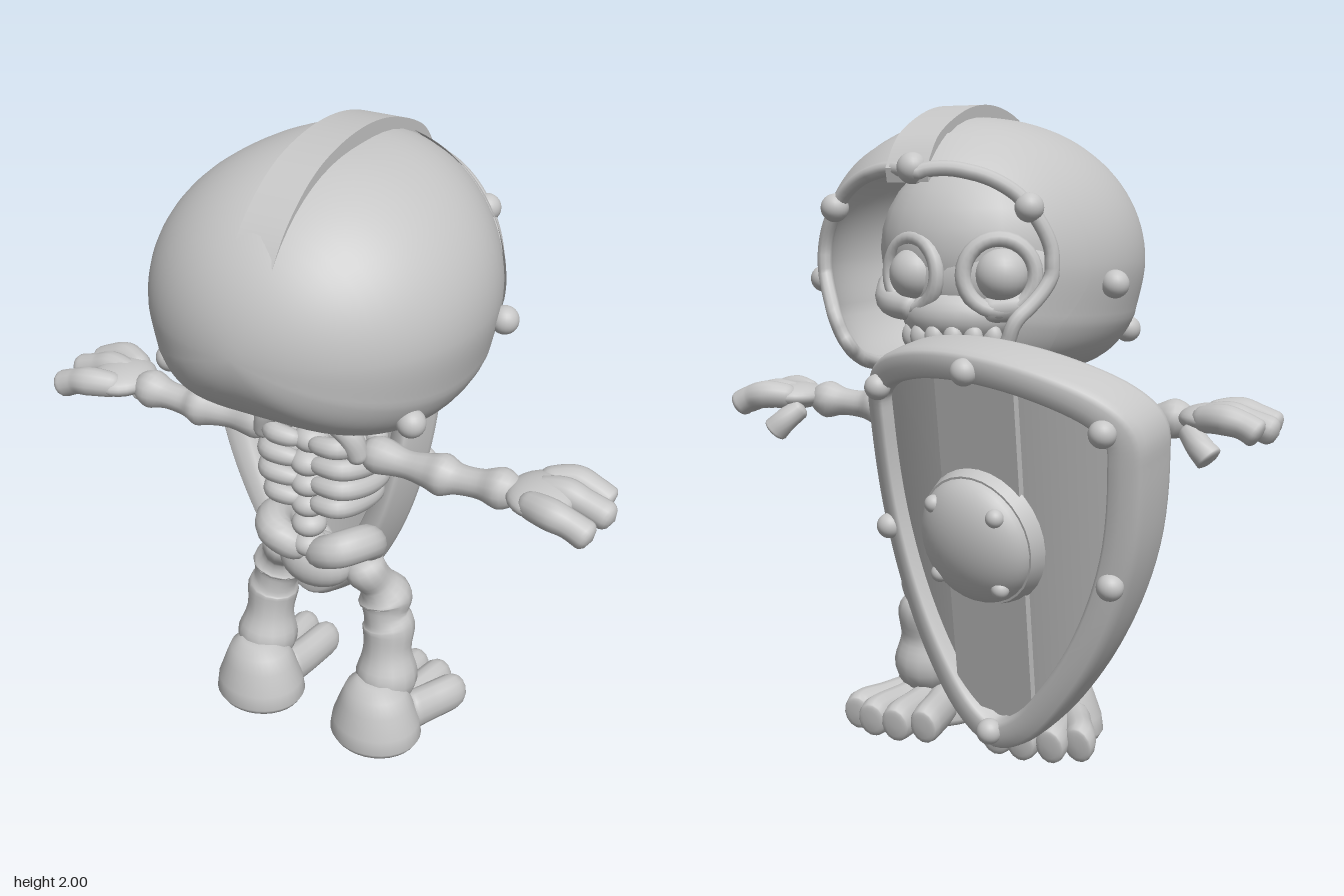
import * as THREE from 'three';
import { mergeVertices } from 'three/addons/utils/BufferGeometryUtils.js';

const V = (x, y, z) => new THREE.Vector3(x, y, z);
const V2 = pts => pts.map(p => new THREE.Vector2(...p));
const TAU = Math.PI * 2;

// surface from a rule f(u, v) -> Vector3, smooth across its seams
function grid(nu, nv, f) {
  const pos = [], idx = [];
  for (let i = 0; i <= nu; i++) for (let j = 0; j <= nv; j++) pos.push(...f(i / nu, j / nv).toArray());
  for (let i = 0; i < nu; i++) for (let j = 0; j < nv; j++) {
    const a = i * (nv + 1) + j, b = a + nv + 1;
    idx.push(a, a + 1, b, a + 1, b + 1, b);
  }
  let g = new THREE.BufferGeometry();
  g.setAttribute('position', new THREE.Float32BufferAttribute(pos, 3));
  g.setIndex(idx);
  g = mergeVertices(g, 1e-5);
  g.computeVertexNormals();
  return g;
}

// rounded bone through points [x, y, z, radius]
function boneGeo(pts, nu = 32, nv = 14) {
  const path = new THREE.CatmullRomCurve3(pts.map(p => V(p[0], p[1], p[2])));
  const rad = new THREE.CatmullRomCurve3(pts.map(p => V(p[3], 0, 0)), false, 'catmullrom');
  const d = path.getPoint(1).sub(path.getPoint(0));
  const ref = Math.abs(d.y) > Math.hypot(d.x, d.z) ? V(0, 0, 1) : V(0, 1, 0);
  return grid(nu, nv, (u, v) => {
    const t = path.getTangent(u), n = t.clone().cross(ref).normalize(), b = t.clone().cross(n);
    const cap = 1 - Math.min(1, Math.min(u, 1 - u) * 8);
    const r = rad.getPoint(u).x * Math.sqrt(1 - cap * cap), a = v * TAU;
    return path.getPoint(u).addScaledVector(n, r * Math.cos(a)).addScaledVector(b, r * Math.sin(a));
  });
}

// side profile drawn as [-z, y] and extruded along x
function sideProfile(outer, inner, width) {
  const shape = new THREE.Shape();
  shape.moveTo(...outer[0]);
  shape.splineThru(V2(outer.slice(1)));
  shape.lineTo(...inner[0]);
  shape.splineThru(V2(inner.slice(1)));
  return new THREE.ExtrudeGeometry(shape, { depth: width, bevelEnabled: false, curveSegments: 28 }).rotateY(Math.PI / 2);
}

export function createModel() {
  const model = new THREE.Group();
  const grey = new THREE.MeshStandardMaterial({ color: 0xc6c6c6, side: THREE.DoubleSide });
  grey.name = 'grey';
  const brown = new THREE.MeshStandardMaterial({ color: 0x552a14, side: THREE.DoubleSide });
  brown.name = 'brown leather';
  const add = (parent, name, geo, x = 0, y = 0, z = 0, mat = grey) => {
    const m = new THREE.Mesh(geo, mat);
    m.name = name;
    m.position.set(x, y, z);
    parent.add(m);
    return m;
  };
  const ball = (parent, name, x, y, z, rx, ry = rx, rz = rx) => {
    const m = add(parent, name, new THREE.SphereGeometry(1, 24, 16), x, y, z);
    m.scale.set(rx, ry, rz);
    return m;
  };
  const group = (name) => {
    const g = new THREE.Group();
    g.name = name;
    model.add(g);
    return g;
  };
  const bone = (parent, name, pts) => add(parent, name, boneGeo(pts));
  const pair = (parent, name, pts) => {
    for (const s of [-1, 1]) bone(parent, name, pts.map(p => [p[0] * s, p[1], p[2], p[3]]));
  };

  // helmet shell, grown from the back pole to the face opening
  const helmet = group('helmet');
  const edge = [[-90, 0.25], [-78, 0.02], [-66, -0.25], [-55, -0.32], [-32, -0.33], [-20, -0.28], [-8, -0.245], [8, -0.245], [35, -0.285], [60, -0.34], [90, -0.39]];
  const edgeZ = (deg) => {
    const i = Math.max(1, edge.findIndex(e => deg <= e[0] + 1e-6)), [a, b] = [edge[i - 1], edge[i]];
    return THREE.MathUtils.mapLinear(deg, a[0], b[0], a[1], b[1]);
  };
  const shell = (t, phi, k = 1) => {
    const s = Math.sin(phi), c = Math.cos(phi);
    const z1 = edgeZ(Math.asin(THREE.MathUtils.clamp(s, -1, 1)) * 180 / Math.PI);
    const z = 0.64 - (0.64 - z1) * (1 - Math.cos(t * Math.PI / 2));
    const d = Math.abs(z - 0.12) / 0.52, low = Math.min(1, Math.max(0, -s * 2));
    const back = Math.sqrt(Math.max(0, 1 - Math.pow(d, 2.15)));
    const fx = z > 0.12 ? back : 1 - 0.48 * d * d;
    const fy = z > 0.12 ? back : 1 - (0.42 - 0.24 * low) * d * d * d;
    const cx = Math.sign(c) * Math.pow(Math.abs(c), 1 - 0.54 * low);
    return V(0.01 + 0.495 * cx * fx * k, 1.53 + (s > 0 ? 0.435 : 0.345) * s * fy * k, z - (k < 1 ? (1 - t) * 0.05 : 0));
  };
  add(helmet, 'helmetShell', grid(48, 96, (u, v) => u <= 0.5 ? shell(u * 2, -v * TAU) : shell(2 - u * 2, -v * TAU, 0.92)));
  add(helmet, 'helmetBand', grid(6, 96, (u, v) => shell(0.92 + 0.08 * u, -v * TAU, 1.015)));
  const rim = new THREE.CatmullRomCurve3(Array.from({ length: 60 }, (_, i) => shell(1, i / 60 * TAU, 0.97)), true);
  add(helmet, 'helmetRim', new THREE.TubeGeometry(rim, 144, 0.022, 10, true));
  // low crest along the middle
  add(helmet, 'helmetCrest', sideProfile(
    [[0.39, 1.8], [0.3, 1.9], [0.1, 1.98], [-0.1, 2], [-0.3, 1.965], [-0.45, 1.88], [-0.55, 1.77], [-0.62, 1.62]],
    [[-0.5, 1.65], [-0.3, 1.85], [-0.1, 1.9], [0.2, 1.87], [0.38, 1.76]], 0.13), -0.035);
  ball(helmet, 'helmetRivet', 0.02, 1.8, -0.37, 0.045);
  for (const s of [-1, 1]) for (const [x, y, z] of [[0.31, 1.69, -0.28], [0.485, 1.47, -0.04], [0.395, 1.31, 0.36]])
    ball(helmet, 'helmetRivet', 0.01 + s * x, y, z, 0.042);

  // skull
  const skull = group('skull');
  ball(skull, 'cranium', 0, 1.57, 0.14, 0.34, 0.31, 0.35);
  ball(skull, 'face', -0.01, 1.49, 0, 0.3, 0.2, 0.205);
  ball(skull, 'upperJaw', 0, 1.37, -0.06, 0.19, 0.11, 0.17);
  for (const s of [-1, 1]) {
    ball(skull, 'eye', s * 0.14 - 0.02, 1.495, -0.145, 0.08);
    add(skull, 'eyeSocket', new THREE.TorusGeometry(0.106, 0.024, 10, 28), s * 0.14 - 0.02, 1.495, -0.165).rotation.y = s * -0.4;
  }
  pair(skull, 'cheekbone', [[0.1, 1.39, -0.17, 0.04], [0.22, 1.41, -0.11, 0.045], [0.29, 1.47, 0.03, 0.04]]);
  bone(skull, 'jaw', [[-0.23, 1.38, 0.1, 0.035], [-0.2, 1.24, 0.05, 0.05], [-0.11, 1.19, -0.07, 0.05], [0, 1.185, -0.095, 0.055],
    [0.11, 1.19, -0.07, 0.05], [0.2, 1.24, 0.05, 0.05], [0.23, 1.38, 0.1, 0.035]]);
  for (let i = 0; i < 6; i++) {
    const a = (i - 2.5) * 0.36;
    ball(skull, 'upperTooth', 0.17 * Math.sin(a), 1.31, -0.05 - 0.16 * Math.cos(a), 0.03, 0.04, 0.025);
    ball(skull, 'lowerTooth', 0.15 * Math.sin(a), 1.245, -0.01 - 0.12 * Math.cos(a), 0.027, 0.035, 0.024);
  }

  // spine, ribs and pelvis
  const torso = group('torso');
  for (let i = 1; i < 9; i++) ball(torso, 'vertebra', 0, 0.63 + i * 0.073, 0.225 - Math.max(0, i - 5) * 0.018, 0.055, 0.042, 0.055);
  for (let i = 0; i < 4; i++) {
    const y = 1.07 - i * 0.069, w = [0.165, 0.19, 0.19, 0.165][i];
    pair(torso, 'rib', [[0.01, y, 0.24, 0.028], [w * 0.65, y + 0.01, 0.245, 0.033], [w - 0.028, y - 0.01, 0.14, 0.035], [w * 0.75, y - 0.025, 0.035, 0.032], [0.01, y - 0.03, 0.01, 0.026]]);
  }
  bone(torso, 'breastbone', [[0, 1.04, -0.005, 0.04], [0, 0.95, -0.01, 0.035], [0, 0.86, 0, 0.025]]);
  pair(torso, 'collarbone', [[0.02, 1.1, 0.03, 0.03], [0.1, 1.12, 0.06, 0.028], [0.2, 1.07, 0.15, 0.04]]);
  pair(torso, 'shoulderBlade', [[0.05, 1.15, 0.2, 0.035], [0.13, 1.13, 0.22, 0.04], [0.17, 1.03, 0.21, 0.03]]);
  pair(torso, 'hipBone', [[0, 0.66, 0.23, 0.045], [0.11, 0.72, 0.245, 0.056], [0.16, 0.715, 0.16, 0.056], [0.13, 0.65, 0.09, 0.052], [0, 0.61, 0.08, 0.045]]);
  ball(torso, 'tailBone', 0, 0.615, 0.18, 0.125, 0.09, 0.09);

  // arms and hands
  const arms = group('arms');
  pair(arms, 'arm', [[0.15, 1.05, 0.17, 0.06], [0.22, 1.05, 0.17, 0.057], [0.3, 1.045, 0.17, 0.043], [0.37, 1.045, 0.17, 0.052], [0.42, 1.045, 0.17, 0.064],
    [0.47, 1.045, 0.17, 0.046], [0.54, 1.05, 0.17, 0.045], [0.6, 1.055, 0.17, 0.062], [0.67, 1.06, 0.17, 0.05]]);
  for (const s of [-1, 1]) ball(arms, 'palm', s * 0.72, 1.065, 0.16, 0.1, 0.045, 0.115);
  for (const [x, z] of [[0.895, 0.06], [0.93, 0.135], [0.91, 0.255]])
    pair(arms, 'finger', [[0.68, 1.065, 0.16 + (z - 0.16) * 0.6, 0.038], [0.78, 1.075, z, 0.046], [0.84, 1.06, z, 0.042], [x, 1.03, z, 0.045]]);
  pair(arms, 'thumb', [[0.66, 1.04, 0.1, 0.035], [0.71, 0.99, 0.06, 0.04], [0.75, 0.95, 0.05, 0.045]]);

  // legs and feet
  const legs = group('legs');
  pair(legs, 'leg', [[0.13, 0.65, 0.15, 0.06], [0.15, 0.6, 0.14, 0.068], [0.175, 0.54, 0.11, 0.06], [0.195, 0.48, 0.09, 0.088], [0.205, 0.425, 0.1, 0.072],
    [0.215, 0.385, 0.1, 0.085], [0.22, 0.3, 0.115, 0.078], [0.225, 0.22, 0.125, 0.1], [0.23, 0.1, 0.15, 0.11]]);
  const heel = new THREE.LatheGeometry(V2([[0, 0.005], [0.14, 0], [0.152, 0.02], [0.145, 0.07], [0.12, 0.14], [0.1, 0.19], [0.06, 0.22], [0, 0.22]]), 32);
  for (const s of [-1, 1]) {
    add(legs, 'heel', heel, s * 0.22, 0, 0.19).scale.z = 0.9;
    [[0.125, -0.08], [0.215, -0.1], [0.305, -0.085], [0.38, -0.04]].forEach(([x, z], i) => {
      const x0 = 0.16 + i * 0.045;
      // each toe rests on the ground
      bone(legs, 'toe', [[x0, 0.14, 0.055], [(x0 + x) / 2, 0.05, 0.052], [x, z, 0.05], [x, z - 0.03, 0.042]].map(p => [p[0] * s, p[2], p[1], p[2]])).scale.y = 1.3;
    });
  }

  // shield, modelled facing its own +z and then tilted
  const shield = group('shield');
  const u = V(-0.967, -0.089, -0.24).normalize(), n = V(0.254, -0.218, -0.943).normalize();
  const up = n.clone().cross(u).normalize();
  shield.quaternion.setFromRotationMatrix(new THREE.Matrix4().makeBasis(u, up, u.clone().cross(up)));
  shield.position.set(-0.235, 0.735, -0.475);
  const half = [[0.2, 0.52], [0.36, 0.455], [0.42, 0.39], [0.425, 0.29], [0.4, 0.05], [0.33, -0.18], [0.22, -0.39], [0.1, -0.54]];
  const outline = new THREE.CatmullRomCurve3([V(0, 0.545, 0), ...half.map(p => V(p[0], p[1], 0)), V(0, -0.59, 0),
    ...half.slice().reverse().map(p => V(-p[0], p[1], 0))], true);
  const bow = x => -0.5 * x * x;
  add(shield, 'shieldRim', grid(96, 16, (t, v) => {
    const p = outline.getPoint(t % 1), d = outline.getTangent(t % 1), a = v * TAU;
    const round = c => Math.sign(c) * Math.sqrt(Math.abs(c));
    const w = 0.047 * round(Math.cos(a));
    const x = p.x - d.y * w, y = p.y + d.x * w;
    return V(x, y, bow(x) - 0.075 - 0.09 * round(Math.sin(a)));
  }));
  add(shield, 'shieldFace', grid(12, 72, (r, t) => {
    const p = outline.getPoint(t % 1);
    return V(p.x * r, p.y * r, bow(p.x * r) - 0.04);
  }));
  add(shield, 'middlePlank', new THREE.BoxGeometry(0.27, 1.04, 0.02), 0, 0.0, -0.03);
  add(shield, 'bossPlate', new THREE.CylinderGeometry(0.19, 0.205, 0.045, 32), 0, 0.045, -0.008).rotation.x = Math.PI / 2;
  const dome = new THREE.SphereGeometry(1, 32, 12, 0, TAU, 0, Math.PI / 2);
  dome.rotateX(Math.PI / 2);
  add(shield, 'boss', dome, 0, 0.045, 0.005).scale.set(0.185, 0.185, 0.1);
  for (let i = 0; i < 4; i++) ball(shield, 'bossRivet', 0.15 * Math.cos(i * Math.PI / 2 + 0.8), 0.045 + 0.15 * Math.sin(i * Math.PI / 2 + 0.8), 0.055, 0.026);
  for (const [x, y] of [[0, 0.54], [0, -0.57], [0.385, 0.41], [-0.385, 0.41], [0.39, -0.03], [-0.39, -0.03]])
    ball(shield, 'rimRivet', x, y, bow(x) + 0.015, 0.038);

  // broad leather grip looped behind the shield
  add(model, 'gripStrap', sideProfile(
    [[0.36, 1.0], [0.15, 1.025], [0.075, 1.005], [0.055, 0.965], [0.085, 0.935], [0.17, 0.895], [0.36, 0.82]],
    [[0.36, 0.835], [0.175, 0.91], [0.1, 0.945], [0.073, 0.965], [0.09, 0.993], [0.15, 1.01], [0.36, 0.985]], 0.13), -0.225, 0, 0, brown);
  return model;
}
